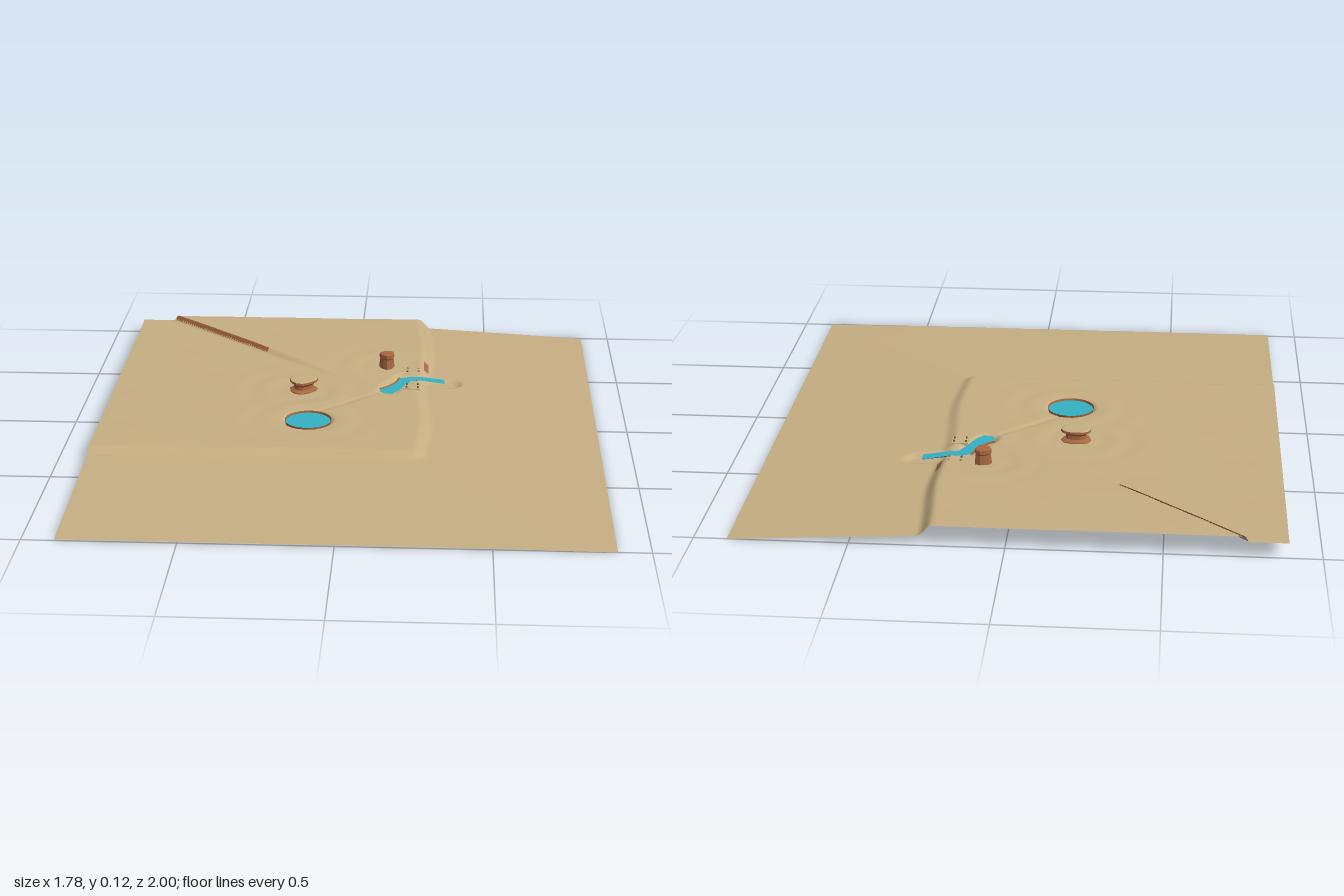
import * as THREE from 'three';

const material = (name, color, side = THREE.FrontSide) => {
  const m = new THREE.MeshStandardMaterial({ color, side });
  m.name = name;
  return m;
};
const smooth = THREE.MathUtils.smoothstep;
const lerp = THREE.MathUtils.lerp;

// Landmarks as [x, z]
const POND = [-0.147, 0.06], POOL = [0.13, -0.25];
const SPIRE = [0.12, -0.475], MUSHROOM = [-0.185, -0.232];
const FAULT_A = [-0.76, -1], FAULT_B = [-0.05, -0.36];
const CHANNEL = [[0.13, -0.25], [0.19, -0.37], [0.36, -0.385]];

function segmentDistance(x, z, a, b) {
  const dx = b[0] - a[0], dz = b[1] - a[1];
  const t = THREE.MathUtils.clamp(((x - a[0]) * dx + (z - a[1]) * dz) / (dx * dx + dz * dz), 0, 1);
  return Math.hypot(x - a[0] - t * dx, z - a[1] - t * dz);
}

// Signed distance from the fault, positive on the raised side
const faultLength = Math.hypot(FAULT_B[0] - FAULT_A[0], FAULT_B[1] - FAULT_A[1]);
const faultDir = [(FAULT_B[0] - FAULT_A[0]) / faultLength, (FAULT_B[1] - FAULT_A[1]) / faultLength];
const faultSide = (x, z) => (x - FAULT_A[0]) * faultDir[1] - (z - FAULT_A[1]) * faultDir[0];

// Fading ripples around a landmark
function ripple(x, z, [cx, cz], reach) {
  const r = Math.hypot(x - cx, z - cz);
  return 0.0013 * Math.sin(r * 55) * (1 - smooth(r, 0.1, reach)) * smooth(r, 0.03, 0.1);
}

function height(x, z) {
  // Gentle outer apron
  const t = Math.max((x - 0.28) / 0.61, (z - 0.37) / 0.63, 0);
  const apron = 0.033 * (1 - t) + 0.004 * t * smooth(z, 0.4, 1) * smooth(-x, -0.89, -0.5);
  // Plateau with the raised back quarter
  const raised = smooth(faultSide(x, z), -0.006, 0.006);
  let plateau = 0.052 + 0.018 * smooth(-z, 0.2, 0.75) * raised;
  plateau += 0.0006 * Math.sin(x * 13 + z * 7) * Math.sin(z * 11 - x * 4);
  plateau += ripple(x, z, POND, 0.36) + ripple(x, z, SPIRE, 0.3) + ripple(x, z, MUSHROOM, 0.36);
  // Wavy cliff edges
  const edgeX = 0.27 + 0.009 * Math.sin(z * 9 + 1), edgeZ = 0.353 + 0.007 * Math.sin(x * 12);
  const inside = (1 - smooth(x, edgeX - 0.028, edgeX + 0.02)) * (1 - smooth(z, edgeZ - 0.024, edgeZ + 0.02));
  let y = lerp(apron, plateau, inside);
  // Pond bowl, stream bed and dry gully
  y -= 0.02 * (1 - smooth(Math.hypot(x - POND[0], z - POND[1]), 0.07, 0.095));
  const bed = Math.min(segmentDistance(x, z, CHANNEL[0], CHANNEL[1]), segmentDistance(x, z, CHANNEL[1], CHANNEL[2]));
  y -= 0.015 * (1 - smooth(bed, 0.028, 0.048));
  y -= 0.003 * (1 - smooth(segmentDistance(x, z, POOL, [-0.11, -0.03]), 0.003, 0.018));
  return Math.max(y, 0);
}

// Move a flat grid's vertices onto the ground
function drape(geometry, lift = 0) {
  const p = geometry.attributes.position;
  for (let i = 0; i < p.count; i++) p.setY(i, height(p.getX(i), p.getZ(i)) + lift);
  geometry.computeVertexNormals();
  return geometry;
}

// Irregular faceted rock from a radius profile
function rockGeometry(profile, sides, seed) {
  const geometry = new THREE.LatheGeometry(profile.map(([r, y]) => new THREE.Vector2(r, y)), sides);
  const p = geometry.attributes.position;
  for (let i = 0; i < p.count; i++) {
    const a = Math.atan2(p.getX(i), p.getZ(i));
    const k = 1 + 0.09 * Math.sin(3 * a + seed) + 0.05 * Math.sin(2 * a + seed * 2);
    p.setX(i, p.getX(i) * k);
    p.setZ(i, p.getZ(i) * k);
  }
  const flat = geometry.toNonIndexed();
  flat.computeVertexNormals();
  return flat;
}

export function createModel() {
  const model = new THREE.Group();
  const sand = material('sand', 0xc6ae82, THREE.DoubleSide);
  const rock = material('red rock', 0xa9673f, THREE.DoubleSide);
  const water = material('water', 0x35b0c4, THREE.DoubleSide);
  const wood = material('dark wood', 0x66492f);

  const add = (name, geometry, mat, x = 0, y = 0, z = 0, parent = model) => {
    const mesh = new THREE.Mesh(geometry, mat);
    mesh.name = name;
    mesh.position.set(x, y, z);
    parent.add(mesh);
    return mesh;
  };

  // Ground sheet
  add('terrain', drape(new THREE.PlaneGeometry(1.785, 2, 200, 224).rotateX(-Math.PI / 2)), sand);

  // Exposed rock along the fault
  const face = new THREE.PlaneGeometry(0.012, 0.55, 4, 80).rotateX(-Math.PI / 2);
  const fp = face.attributes.position;
  for (let i = 0; i < fp.count; i++) {
    const along = fp.getZ(i) + 0.275, across = fp.getX(i);
    const z = FAULT_A[1] + along * faultDir[1] - across * faultDir[0];
    fp.setXYZ(i, FAULT_A[0] + along * faultDir[0] + across * faultDir[1], 0, Math.max(z, -1));
  }
  add('faultFace', drape(face, 0.0025), rock);

  // Rocky patch on the side cliff
  const patch = new THREE.PlaneGeometry(0.018, 0.075, 4, 10).rotateX(-Math.PI / 2).translate(0.27, 0, -0.495);
  add('cliffOutcrop', drape(patch, 0.003), rock);

  // Round pond with its rocky rim
  add('pondWater', new THREE.CircleGeometry(0.081, 40).rotateX(-Math.PI / 2), water, POND[0], 0.045, POND[1]);
  add('pondRim', new THREE.CylinderGeometry(0.084, 0.081, 0.013, 40, 1, true), rock, POND[0], 0.0455, POND[1]);

  // Stream from the pool down over the cliff
  const outline = [[0.1, -0.265], [0.125, -0.285], [0.155, -0.33], [0.17, -0.38], [0.2, -0.395], [0.25, -0.4],
    [0.34, -0.41], [0.34, -0.366], [0.25, -0.362], [0.215, -0.355], [0.19, -0.3], [0.167, -0.245],
    [0.145, -0.217], [0.115, -0.22], [0.1, -0.24]];
  const stream = new THREE.ShapeGeometry(new THREE.Shape(outline.map(([x, z]) => new THREE.Vector2(x, -z))));
  stream.rotateX(-Math.PI / 2);
  const sp = stream.attributes.position;
  for (let i = 0; i < sp.count; i++) sp.setY(i, lerp(0.048, 0.034, smooth(sp.getX(i), 0.24, 0.34)));
  stream.computeVertexNormals();
  add('stream', stream, water);

  // Rock bank on the upper side of the stream
  const bank = new THREE.CatmullRomCurve3([[0.1, -0.265], [0.125, -0.288], [0.155, -0.333], [0.17, -0.383]]
    .map(([x, z]) => new THREE.Vector3(x, 0.048, z)));
  add('streamBank', new THREE.TubeGeometry(bank, 12, 0.004, 5), rock);

  // Tall spire
  add('spire', rockGeometry([[0.034, 0.045], [0.03, 0.062], [0.026, 0.095], [0.029, 0.1], [0.028, 0.113],
    [0.022, 0.116], [0, 0.116]], 11, 1), rock, SPIRE[0], 0, SPIRE[1]);

  // Undercut rock with a sandy top
  add('mushroomRock', rockGeometry([[0.05, 0.044], [0.049, 0.055], [0.035, 0.062], [0.034, 0.075],
    [0.042, 0.083], [0.05, 0.087], [0.049, 0.095]], 14, 2), rock, MUSHROOM[0], 0, MUSHROOM[1]);
  add('mushroomTop', rockGeometry([[0.049, 0.095], [0.042, 0.097], [0, 0.097]], 14, 2), sand,
    MUSHROOM[0], 0, MUSHROOM[1]);

  // Two sandy pads with corner posts either side of the stream
  for (const z of [-0.445, -0.28]) {
    const pad = new THREE.Group();
    pad.name = 'postedPad';
    pad.position.set(0.22, 0.052, z);
    add('pad', new THREE.BoxGeometry(0.056, 0.008, 0.056), sand, 0, 0, 0, pad);
    for (const sx of [-1, 1]) for (const sz of [-1, 1]) {
      add('post', new THREE.BoxGeometry(0.006, 0.016, 0.006), wood, sx * 0.021, 0.001, sz * 0.015, pad);
    }
    model.add(pad);
  }
  return model;
}
